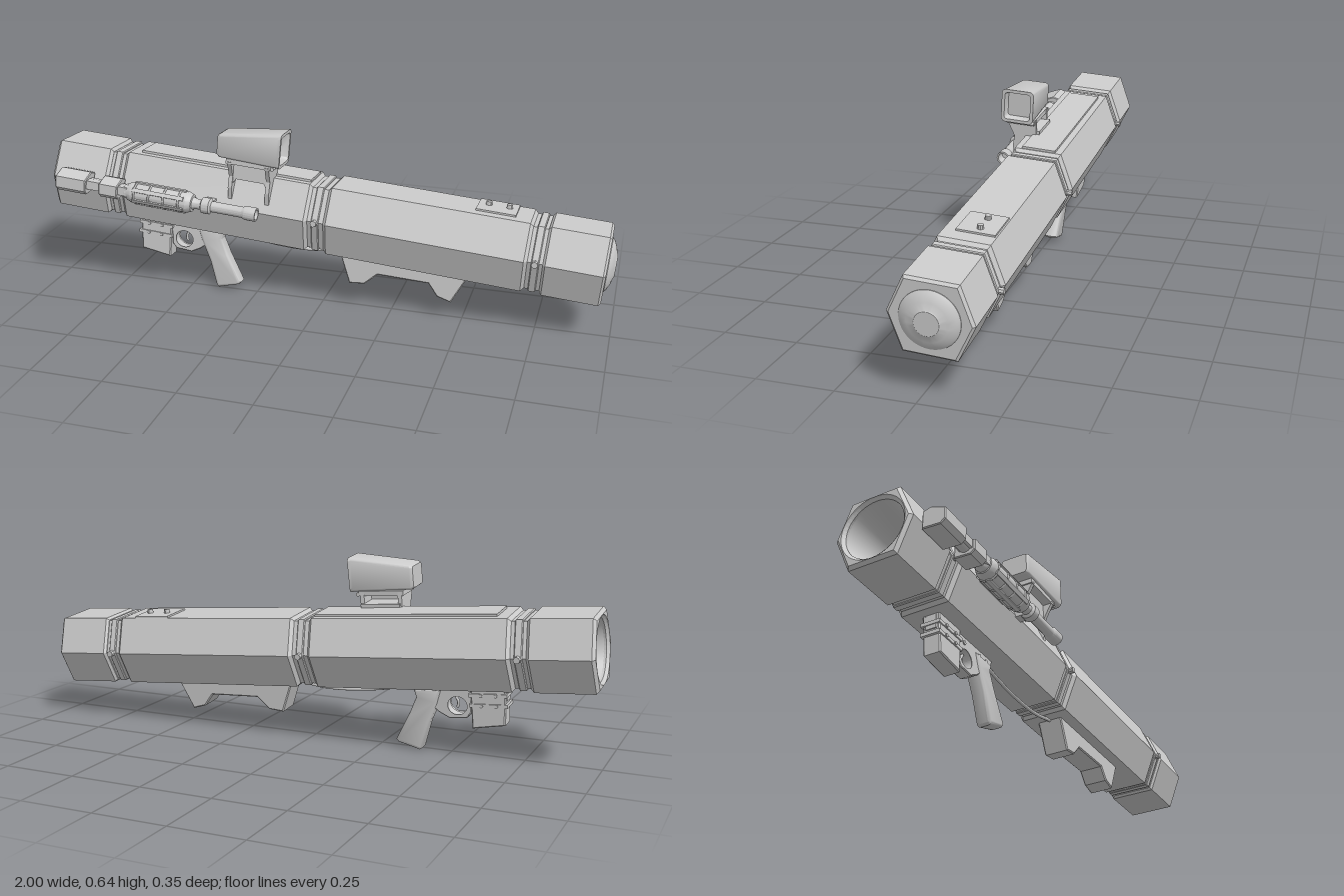
import * as THREE from 'three';
import { toCreasedNormals } from 'three/addons/utils/BufferGeometryUtils.js';

const smooth = new THREE.MeshStandardMaterial({ color: 0xcccccc, side: THREE.DoubleSide });
const flat = new THREE.MeshStandardMaterial({ color: 0xcccccc, flatShading: true, side: THREE.DoubleSide });

// Local frame: x along the tube, y up, z to the sight side; the tube axis is the origin.
function add(parent, name, geo, mat = flat) {
  const mesh = new THREE.Mesh(geo, mat);
  mesh.name = name;
  parent.add(mesh);
  return mesh;
}

function box(parent, name, [x0, x1], [y0, y1], [z0, z1]) {
  const mesh = add(parent, name, new THREE.BoxGeometry(x1 - x0, y1 - y0, z1 - z0));
  mesh.position.set((x0 + x1) / 2, (y0 + y1) / 2, (z0 + z1) / 2);
  return mesh;
}

const shapeOf = (pts) => new THREE.Shape(pts.map(([x, y]) => new THREE.Vector2(x, y)));

function extrude(shape, depth, bevel, steps = 1) {
  const options = { depth: depth - 2 * bevel, curveSegments: 24, bevelEnabled: bevel > 0, bevelSize: bevel,
    bevelThickness: bevel, bevelOffset: -bevel, bevelSegments: steps };
  return new THREE.ExtrudeGeometry(shape, options).translate(0, 0, bevel);
}

// Side profile (x, y) extruded across z, centred
const sideProfile = (shape, width, bevel, steps) => extrude(shape, width, bevel, steps).translate(0, 0, -width / 2);

// Profile of [radius, x] pairs turned around the x axis
function turned(profile, segments = 32) {
  const geo = new THREE.LatheGeometry(profile.map(([r, x]) => new THREE.Vector2(r, x)), segments);
  return toCreasedNormals(geo.rotateZ(-Math.PI / 2), 0.5);
}

// Six-sided tube section from x0 to x1, optionally with a round bore
function hexSection(x0, x1, scale, bevel, bore = 0) {
  const pts = [[0.132, 0], [0.083, 0.12], [-0.083, 0.12], [-0.132, 0], [-0.083, -0.12], [0.083, -0.12]];
  const shape = shapeOf(pts.map(([z, y]) => [z * scale, y * scale]));
  if (bore) shape.holes.push(new THREE.Path().absarc(0, 0, bore, 0, Math.PI * 2, true));
  return extrude(shape, x1 - x0, bevel).rotateY(Math.PI / 2).translate(x0, 0, 0);
}

// Rounded rectangle rings [x, halfZ, halfY, cornerRadius, centreY] joined along x
function roundedLoft(rings) {
  const n = 20, pos = [], index = [];
  for (const [x, hz, hy, r, cy] of rings) {
    for (let i = 0; i < n; i++) {
      const corner = Math.floor(i / 5), a = (corner + (i % 5) / 4) * Math.PI / 2;
      const sy = corner === 0 || corner === 3 ? 1 : -1, sz = corner < 2 ? 1 : -1;
      pos.push(x, cy + sy * (hy - r) + r * Math.cos(a), sz * (hz - r) + r * Math.sin(a));
    }
  }
  for (let k = 0; k < rings.length - 1; k++) {
    for (let i = 0; i < n; i++) {
      const a = k * n + i, b = k * n + (i + 1) % n;
      index.push(a, b, a + n, b, b + n, a + n);
    }
  }
  const geo = new THREE.BufferGeometry();
  geo.setAttribute('position', new THREE.Float32BufferAttribute(pos, 3));
  geo.setIndex(index);
  return toCreasedNormals(geo, 0.6);
}

function buildTube(g) {
  add(g, 'tubeCore', hexSection(-0.79, 0.79, 0.91, 0));
  add(g, 'rearCap', hexSection(-0.993, -0.78, 1, 0.01, 0.1));
  add(g, 'rearTubeSection', hexSection(-0.73, -0.035, 1, 0.012));
  add(g, 'frontTubeSection', hexSection(0.02, 0.72, 1, 0.012));
  add(g, 'frontCap', hexSection(0.77, 0.973, 1, 0.008));
  add(g, 'rearBore', turned([[0.108, -0.992], [0.1, -0.975], [0.085, -0.85], [0.07, -0.795], [0, -0.795]], 40), smooth);
  add(g, 'frontDome', turned([[0.093, 0.965], [0.092, 0.975], [0.082, 0.983], [0.062, 0.992], [0.042, 0.997],
    [0.038, 1], [0, 1]], 40), smooth);
  // Straps in the grooves, bolted at both side edges
  for (const x of [-0.755, -0.008, 0.745]) {
    add(g, 'strap', hexSection(x - 0.013, x + 0.013, 0.96, 0.003));
    for (const side of [-1, 1]) {
      const bolt = add(g, 'strapBolt', new THREE.CylinderGeometry(0.011, 0.011, 0.03, 8).rotateX(Math.PI / 2));
      bolt.position.set(x, 0, side * 0.126);
    }
  }
  // Plates on the top face
  box(g, 'topRail', [-0.68, -0.05], [0.115, 0.128], [-0.06, 0.058]);
  box(g, 'topPlate', [0.52, 0.655], [0.115, 0.126], [-0.078, 0.045]);
  for (const x of [0.555, 0.625]) {
    const bolt = add(g, 'plateBolt', new THREE.CylinderGeometry(0.01, 0.011, 0.014, 10), flat);
    bolt.position.set(x, 0.132, -0.022);
  }
}

function buildSight(parent) {
  const g = new THREE.Group();
  g.name = 'sight';
  parent.add(g);
  const housing = add(g, 'sightHousing', roundedLoft([
    [-0.365, 0, 0, 0, -0.012], [-0.365, 0.046, 0.036, 0.01, -0.012], [-0.355, 0.052, 0.042, 0.013, -0.012],
    [-0.15, 0.058, 0.058, 0.015, 0], [-0.138, 0.058, 0.06, 0.015, 0], [-0.138, 0.047, 0.049, 0.011, 0],
    [-0.165, 0.041, 0.043, 0.009, 0], [-0.165, 0, 0, 0, 0]]), smooth);
  housing.position.set(0, 0.236, 0.109);
  // Bracket that hooks over the upper edge of the tube
  const gusset = [[0.157, 0.172], [0.049, 0.178], [0.045, 0.119], [0.083, 0.115], [0.12, 0.03], [0.13, 0.073], [0.126, 0.114]];
  for (const x of [-0.325, -0.19]) {
    const geo = extrude(shapeOf(gusset.map(([z, y]) => [-z, y])), 0.014, 0).rotateY(Math.PI / 2).translate(x, 0, 0);
    add(g, 'bracketLeg', geo);
  }
  const web = [[-0.325, 0.178], [-0.176, 0.178], [-0.176, 0.07], [-0.2, 0.105], [-0.3, 0.105], [-0.325, 0.07]];
  add(g, 'bracketWeb', sideProfile(shapeOf(web), 0.01, 0)).position.z = 0.118;
  box(g, 'bracketTop', [-0.33, -0.17], [0.165, 0.182], [0.05, 0.155]);
  box(g, 'bracketBase', [-0.32, -0.18], [0.11, 0.14], [0.035, 0.12]);
  const pin = add(g, 'bracketPin', new THREE.CylinderGeometry(0.007, 0.007, 0.1, 10).rotateX(Math.PI / 2), smooth);
  pin.position.set(-0.166, 0.17, 0.102);
}

function buildFiringGrip(parent) {
  const g = new THREE.Group();
  g.name = 'firingGrip';
  parent.add(g);
  const frame = shapeOf([[-0.685, -0.105], [-0.35, -0.105], [-0.375, -0.15], [-0.45, -0.215], [-0.485, -0.235],
    [-0.545, -0.232], [-0.56, -0.215], [-0.565, -0.17], [-0.685, -0.17]]);
  frame.holes.push(new THREE.Path().absellipse(-0.515, -0.19, 0.036, 0.034, 0, Math.PI * 2, true));
  add(g, 'gripFrame', sideProfile(frame, 0.042, 0.003));
  add(g, 'magazineBlock', sideProfile(shapeOf([[-0.685, -0.115], [-0.565, -0.115], [-0.563, -0.265], [-0.675, -0.252]]),
    0.06, 0.004));
  for (const y of [-0.15, -0.185]) {
    box(g, 'magazineBand', [-0.688, -0.56], [y - 0.006, y + 0.006], [-0.034, 0.034]);
    for (const x of [-0.65, -0.6]) {
      const stud = add(g, 'magazineStud', new THREE.CylinderGeometry(0.006, 0.006, 0.076, 8).rotateX(Math.PI / 2));
      stud.position.set(x, y, 0);
    }
  }
  const handle = shapeOf([[-0.465, -0.135], [-0.365, -0.135], [-0.372, -0.165], [-0.345, -0.22], [-0.288, -0.316],
    [-0.296, -0.326], [-0.37, -0.351], [-0.38, -0.345], [-0.412, -0.255], [-0.448, -0.185]]);
  add(g, 'handle', toCreasedNormals(sideProfile(handle, 0.052, 0.013, 4), 0.7), smooth);
  const trigger = new THREE.TorusGeometry(0.026, 0.005, 6, 10, 1.5).rotateZ(2.3);
  add(g, 'trigger', trigger, smooth).position.set(-0.487, -0.185, 0);
  for (const x of [-0.53, -0.44, -0.4]) {
    const pin = add(g, 'framePin', new THREE.CylinderGeometry(0.007, 0.007, 0.05, 10).rotateX(Math.PI / 2));
    pin.position.set(x, -0.14, 0);
  }
  // Cable from the grip to the front support
  const path = new THREE.CatmullRomCurve3([[-0.37, -0.125], [-0.28, -0.14], [-0.15, -0.149], [-0.03, -0.143], [0.08, -0.118]]
    .map(([x, y]) => new THREE.Vector3(x, y, 0)));
  add(g, 'cable', new THREE.TubeGeometry(path, 30, 0.006, 8), smooth);
}

function buildAimingDevice(parent) {
  const g = new THREE.Group();
  g.name = 'aimingDevice';
  g.position.set(0, 0.008, 0.173);
  parent.add(g);
  // Stepped barrel with an open front end
  add(g, 'deviceBarrel', turned([[0, -0.9], [0.02, -0.9], [0.02, -0.69], [0.026, -0.68], [0.026, -0.44], [0.018, -0.42],
    [0.018, -0.4], [0.028, -0.395], [0.028, -0.368], [0.019, -0.362], [0.019, -0.25], [0.024, -0.24], [0.024, -0.2],
    [0.018, -0.2], [0.016, -0.24], [0, -0.24]], 20), smooth);
  add(g, 'deviceBody', turned([[0.02, -0.675], [0.03, -0.672], [0.037, -0.655], [0.037, -0.45], [0.03, -0.432],
    [0.02, -0.43]], 16), smooth);
  for (let i = 0; i < 6; i++) {
    const a = i * Math.PI / 3;
    const rib = add(g, 'bodyRib', new THREE.BoxGeometry(0.19, 0.008, 0.014));
    rib.position.set(-0.552, 0.037 * Math.cos(a), 0.037 * Math.sin(a));
    rib.rotation.x = a;
  }
  for (const x of [-0.64, -0.585, -0.53, -0.475]) {
    add(g, 'bodyRing', new THREE.TorusGeometry(0.037, 0.004, 6, 16).rotateY(Math.PI / 2), smooth).position.x = x;
  }
  // Housings with a chamfered outer edge, and their mounts on the tube
  const section = [[0.042, -0.03], [0.042, 0.032], [0.012, 0.04], [-0.036, 0.02], [-0.036, -0.02], [-0.02, -0.034]];
  for (const [x0, x1, s] of [[-0.94, -0.825, 1], [-0.775, -0.705, 0.92]]) {
    const geo = extrude(shapeOf(section.map(([z, y]) => [z * s, y * s])), x1 - x0, 0.003).rotateY(Math.PI / 2);
    add(g, 'deviceHousing', geo.translate(x0, 0, 0));
  }
  box(g, 'deviceBridge', [-0.83, -0.67], [-0.012, 0.018], [-0.02, 0.025]);
  for (const [x0, x1] of [[-0.92, -0.84], [-0.62, -0.48], [-0.4, -0.365]]) {
    box(g, 'deviceMount', [x0, x1], [-0.014, 0.014], [-0.06, 0]);
  }
}

export function createModel() {
  const root = new THREE.Group();
  root.name = 'shoulderLauncher';
  const body = new THREE.Group();
  body.name = 'launcherBody';
  body.rotation.set(-0.07, 0, -0.077, 'ZYX');
  body.position.set(0, 0.32, -0.036);
  root.add(body);

  buildTube(body);
  buildSight(body);
  buildFiringGrip(body);
  buildAimingDevice(body);

  // Front support with two feet
  const support = shapeOf([[0.07, -0.112], [0.118, -0.227], [0.173, -0.219], [0.215, -0.176], [0.395, -0.172],
    [0.43, -0.214], [0.48, -0.226], [0.532, -0.112]]);
  add(body, 'frontSupport', sideProfile(support, 0.088, 0.004));
  return root;
}
